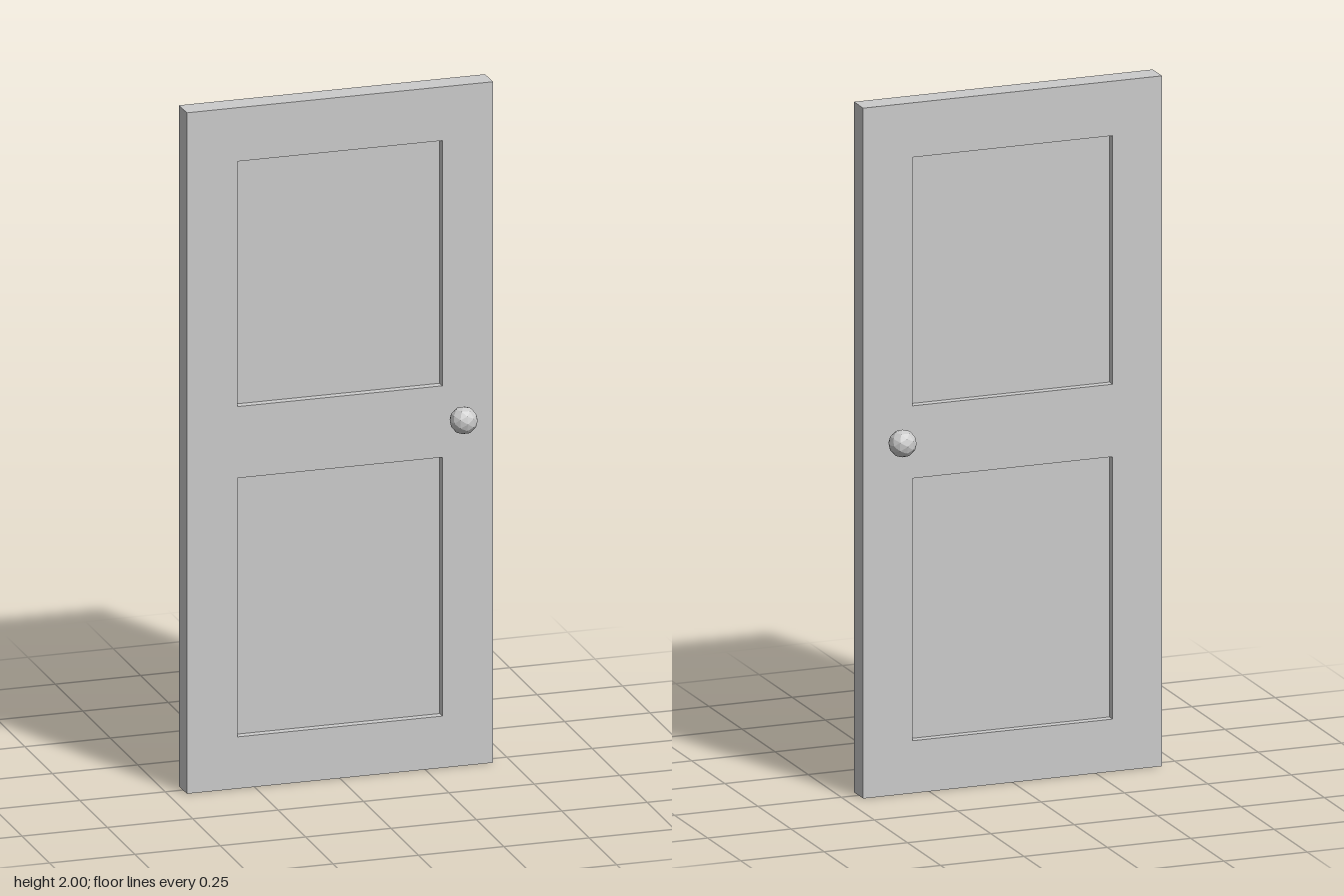
import * as THREE from 'three';

export function createModel() {
  const door = new THREE.Group();
  door.name = 'door';
  const material = new THREE.MeshStandardMaterial({ color: 0xcccccc, flatShading: true });

  const add = (name, geometry, x, y, z) => {
    const mesh = new THREE.Mesh(geometry, material);
    mesh.name = name;
    mesh.position.set(x, y, z);
    door.add(mesh);
    return mesh;
  };

  const halfWidth = 0.448, height = 2, thickness = 0.07;
  const panelHalfWidth = 0.3, panelThickness = 0.022;
  const openings = [
    { name: 'lowerPanel', bottom: 0.152, top: 0.912 },
    { name: 'upperPanel', bottom: 1.122, top: 1.842 },
  ];

  const rectangle = (target, half, bottom, top) => target
    .moveTo(-half, bottom).lineTo(half, bottom)
    .lineTo(half, top).lineTo(-half, top).closePath();

  // Frame with two rectangular openings
  const outline = rectangle(new THREE.Shape(), halfWidth, 0, height);
  for (const { bottom, top } of openings) {
    outline.holes.push(rectangle(new THREE.Path(), panelHalfWidth, bottom, top));
  }
  const frame = new THREE.ExtrudeGeometry(outline, { depth: thickness, bevelEnabled: false });
  add('frame', frame, 0, 0, -thickness / 2);

  // Thin panels, recessed on both faces
  for (const { name, bottom, top } of openings) {
    add(name, new THREE.BoxGeometry(panelHalfWidth * 2, top - bottom, panelThickness),
      0, (bottom + top) / 2, 0);
  }

  // Faceted knob on a short stem, on each face
  const knobX = 0.348, knobY = 1.03;
  for (const [side, s] of [['front', 1], ['back', -1]]) {
    const stem = add(side + 'KnobStem', new THREE.CylinderGeometry(0.018, 0.018, 0.03, 12),
      knobX, knobY, s * 0.043);
    stem.rotation.x = Math.PI / 2;
    add(side + 'Knob', new THREE.IcosahedronGeometry(0.04, 1), knobX, knobY, s * 0.08);
  }

  return door;
}
